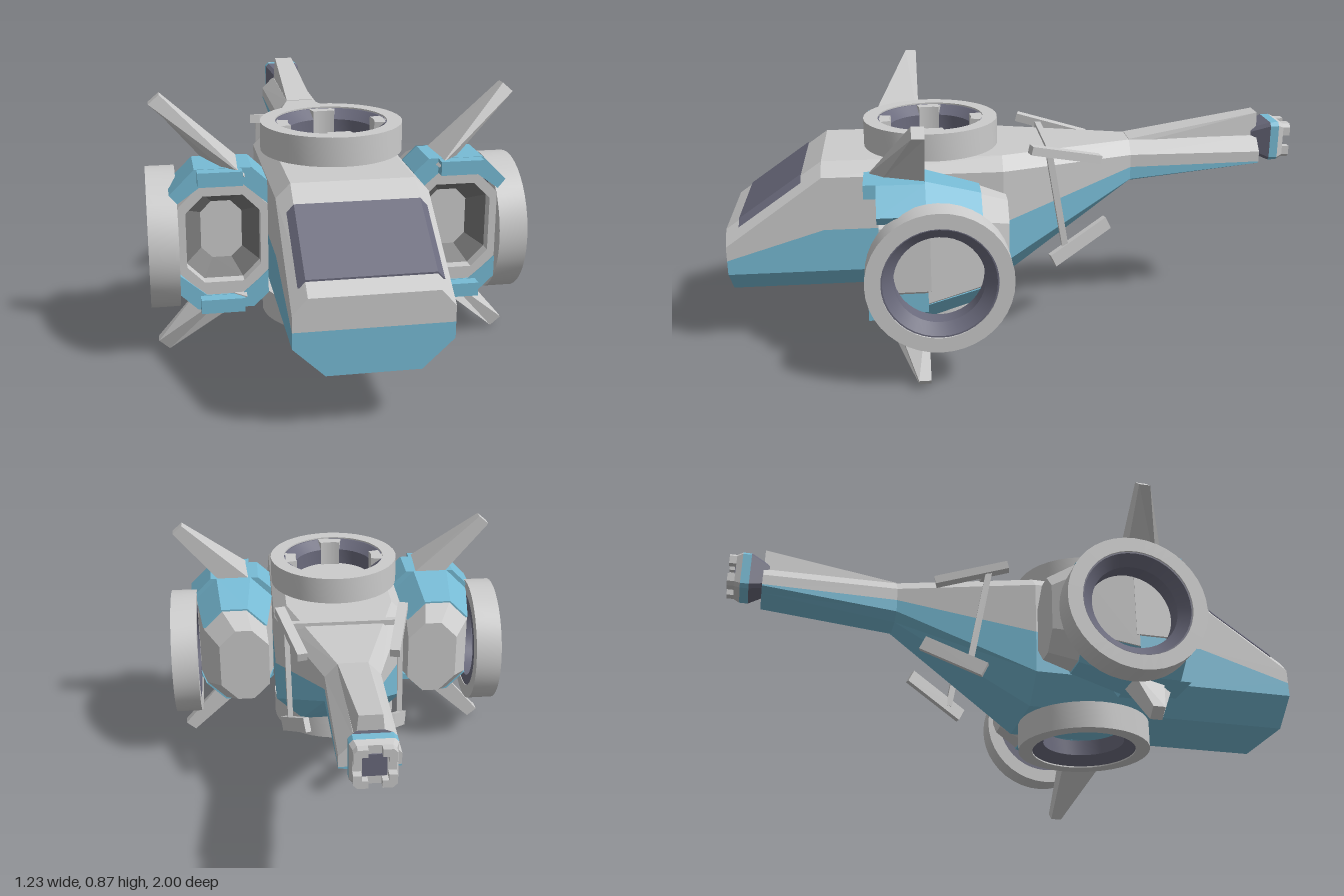
import * as THREE from 'three';
import { toCreasedNormals } from 'three/addons/utils/BufferGeometryUtils.js';

const mat = (color, side = THREE.FrontSide) => new THREE.MeshStandardMaterial({ color, side, flatShading: true });
const GREY = mat(0xcccccc), BLUE = mat(0x77bbd5), DARK = mat(0x6b6b7d);
const INTAKE = mat(0x7a7a7a, THREE.DoubleSide);
const GLASS = mat(0x6b6b7d, THREE.DoubleSide);
const SMOOTH = new THREE.MeshStandardMaterial({ color: 0xcccccc });
const SMOOTH_DARK = new THREE.MeshStandardMaterial({ color: 0x6b6b7d });

function add(parent, name, geometry, material) {
  const mesh = new THREE.Mesh(geometry, material);
  mesh.name = name;
  parent.add(mesh);
  return mesh;
}

// Skin between cross-sections ordered front (+z) to back, turned to face outwards
function loft(rings, caps = true) {
  const n = rings[0].length, pos = [];
  let area = 0;
  const last = rings[rings.length - 1];
  last.forEach((p, i) => { const q = last[(i + 1) % n]; area += p[0] * q[1] - q[0] * p[1]; });
  if (area < 0) rings = rings.map((r) => [...r].reverse());
  const tri = (...pts) => pts.forEach((p) => pos.push(...p));
  for (let k = 0; k < rings.length - 1; k++) {
    for (let i = 0; i < n; i++) {
      const j = (i + 1) % n, a = rings[k], b = rings[k + 1];
      tri(a[i], b[i], b[j]);
      tri(a[i], b[j], a[j]);
    }
  }
  if (caps) {
    const f = rings[0], b = rings[rings.length - 1];
    for (let i = 1; i < n - 1; i++) {
      tri(f[0], f[i], f[i + 1]);
      tri(b[0], b[i + 1], b[i]);
    }
  }
  const g = new THREE.BufferGeometry();
  g.setAttribute('position', new THREE.Float32BufferAttribute(pos, 3));
  g.computeVertexNormals();
  return g;
}

// Octagon with cut corners, centred on (cx, cy)
const oct = (cx, cy, w, h, c, z) => [
  [w, -h + c], [w, h - c], [w - c, h], [c - w, h], [-w, h - c], [-w, c - h], [c - w, -h], [w - c, -h],
].map(([x, y]) => [cx + x, cy + y, z]);

const toShape = (pts) => new THREE.Shape(pts.map(([x, y]) => new THREE.Vector2(x, y)));

function extrude(shape, z0, z1) {
  const g = new THREE.ExtrudeGeometry(shape, { depth: z1 - z0, bevelEnabled: false, curveSegments: 8 });
  return g.translate(0, 0, z0);
}

// Straight bar between two points
function beam(parent, name, a, b, w, h, material = GREY) {
  const p = new THREE.Vector3(...a), q = new THREE.Vector3(...b);
  const m = add(parent, name, new THREE.BoxGeometry(w, h, p.distanceTo(q)), material);
  m.position.copy(p).add(q).multiplyScalar(0.5);
  m.lookAt(q);
}

// Open docking ring standing on its local y = 0
function dockRing(name, teeth) {
  const g = new THREE.Group();
  g.name = name;
  const lathe = (pts) => toCreasedNormals(new THREE.LatheGeometry(pts.map((p) => new THREE.Vector2(...p)), 40), 0.6);
  add(g, 'ringRim', lathe([[0.185, 0], [0.235, 0], [0.235, 0.095], [0.185, 0.095], [0.185, 0]]), SMOOTH);
  add(g, 'ringLining', lathe([[0.145, 0.003], [0.186, 0.003], [0.186, 0.09], [0.18, 0.09], [0.145, 0.06], [0.145, 0.003]]), SMOOTH_DARK);
  for (let i = 0; teeth && i < 4; i++) {
    const mid = i * Math.PI / 2, s = new THREE.Shape();
    s.absarc(0, 0, 0.19, mid - 0.25, mid + 0.25, false);
    s.absarc(0, 0, 0.143, mid + 0.25, mid - 0.25, true);
    add(g, 'ringTooth', extrude(s, 0, 0.09).rotateX(-Math.PI / 2), GREY);
  }
  return g;
}

function sidePod() {
  const g = new THREE.Group(), X = 0.378, Y = 0.425;
  g.name = 'sidePod';
  // Faceted rear shell
  add(g, 'podShell', loft([
    oct(X, Y, 0.142, 0.232, 0.08, 0.33), oct(X, Y, 0.115, 0.18, 0.07, 0.15), oct(X - 0.03, Y, 0.09, 0.14, 0.06, 0.06),
  ]), GREY);
  // Intake frame, funnel and back plate
  const frame = toShape(oct(X, Y, 0.142, 0.19, 0.08, 0));
  frame.holes.push(toShape(oct(X, Y, 0.118, 0.145, 0.055, 0)));
  add(g, 'intakeFrame', extrude(frame, 0.32, 0.48), GREY);
  add(g, 'intakeFunnel', loft([oct(X, Y, 0.118, 0.145, 0.055, 0.44), oct(X, Y, 0.065, 0.095, 0.035, 0.38)], false), INTAKE);
  add(g, 'intakePlate', extrude(toShape(oct(X, Y, 0.07, 0.1, 0.037, 0)), 0.34, 0.382), GREY);

  for (const s of [1, -1]) {
    const flip = ([x, y, z]) => [x, Y + s * (y - Y), z];
    // Coloured panel over the rear shell
    const panel = (w, h, c, z) => [[w, h - c], [w - c, h], [c - w, h], [-w, h - c]].map(([x, y]) => flip([X + x, Y + y, z]));
    add(g, 'podPanel', loft([panel(0.144, 0.236, 0.08, 0.33), panel(0.118, 0.186, 0.07, 0.15)]), BLUE);
    // Visor reaching forward above the intake
    const end = s > 0 ? [[0.545, 0.58], [0.52, 0.55]] : [[0.52, 0.607], [0.52, 0.54]];
    const visor = [[0.237, 0.54], [0.237, 0.615], [0.285, 0.66], [0.465, 0.66], ...end, [0.435, 0.612], [0.32, 0.612]];
    add(g, 'podVisor', extrude(toShape(visor.map(flip)), 0.33, 0.485), BLUE);
    const lip = add(g, 'visorLip', new THREE.BoxGeometry(0.14, 0.046, 0.06), BLUE);
    lip.position.set(...flip([0.387, 0.636, 0.495]));
    // Swept fin
    const finY = (y) => (s > 0 ? y : 0.88 - y);
    const fin = [
      [[0.31, 0.64, 0.52], [0.36, 0.64, 0.47], [0.595, 0.845, 0.37], [0.56, 0.875, 0.37]],
      [[0.3, 0.64, 0.33], [0.42, 0.64, 0.33], [0.595, 0.845, 0.33], [0.56, 0.875, 0.33]],
    ].map((r) => r.map(([x, y, z]) => [x, finY(y), z]));
    add(g, 'fin', loft(fin), GREY);
  }

  const ring = dockRing('sideRing', false);
  ring.rotation.z = -Math.PI / 2;
  ring.position.set(0.52, 0.38, 0.295);
  g.add(ring);

  // Rear braces beside the hull
  beam(g, 'upperVane', [0.218, 0.685, -0.035], [0.155, 0.625, -0.285], 0.035, 0.03);
  beam(g, 'lowerVane', [0.215, 0.275, -0.115], [0.145, 0.385, -0.32], 0.02, 0.05);
  beam(g, 'braceStrut', [0.2, 0.67, -0.1], [0.195, 0.3, -0.165], 0.018, 0.022);
  return g;
}

export function createModel() {
  const model = new THREE.Group();
  model.name = 'spacecraft';

  // Hull stations: z, bottom half-width, bottom y, half-width, lower corner y, colour line y, upper corner y, top half-width, top y
  const stations = [
    [1, 0.14, 0.19, 0.235, 0.28, 0.33, 0.38, 0.19, 0.43],
    [0.67, 0.14, 0.19, 0.235, 0.28, 0.43, 0.615, 0.19, 0.66],
    [0.06, 0.14, 0.19, 0.235, 0.28, 0.43, 0.615, 0.19, 0.66],
    [-0.41, 0.045, 0.505, 0.092, 0.525, 0.57, 0.615, 0.05, 0.66],
    [-0.88, 0.045, 0.565, 0.092, 0.57, 0.575, 0.612, 0.045, 0.66],
  ];
  add(model, 'lowerHull', loft(stations.map(([z, wb, yb, w, yl, ym]) =>
    [[-wb, yb, z], [wb, yb, z], [w, yl, z], [w, ym, z], [-w, ym, z], [-w, yl, z]])), BLUE);
  add(model, 'upperHull', loft(stations.map(([z, , , w, , ym, yu, wt, yt]) =>
    [[-w, ym, z], [w, ym, z], [w, yu, z], [wt, yt, z], [-wt, yt, z], [-w, yu, z]])), GREY);

  // Windscreen wrapped over the sloping nose
  const glassRow = (y, z) => [[-0.212, y - 0.018, z], [0.212, y - 0.018, z], [0.19, y + 0.006, z], [-0.19, y + 0.006, z]];
  add(model, 'windscreen', loft([glassRow(0.461, 0.955), glassRow(0.611, 0.74)]), GLASS);

  // Tail ridge rising to the rear
  const ridge = (w, t, y, z) => [[-w, 0.64, z], [w, 0.64, z], [t, y, z], [-t, y, z]];
  add(model, 'tailRidge', loft([ridge(0.055, 0.05, 0.662, -0.41), ridge(0.045, 0.035, 0.742, -0.88)]), GREY);

  // Tail coupling
  const sq = (w, z) => oct(0, 0.64, w, w, 0.012, z);
  add(model, 'couplingNeck', loft([sq(0.045, -0.86), sq(0.07, -0.925)]), DARK);
  add(model, 'couplingBand', loft([sq(0.07, -0.925), sq(0.07, -0.955)]), BLUE);
  add(model, 'couplingEnd', loft([sq(0.07, -0.955), sq(0.062, -0.975)]), GREY);
  add(model, 'couplingRecess', new THREE.BoxGeometry(0.07, 0.07, 0.01), DARK).position.set(0, 0.64, -0.974);
  const corner = toShape([[0.02, 0.038], [0.038, 0.038], [0.038, 0.02], [0.062, 0.02], [0.062, 0.05], [0.05, 0.062], [0.02, 0.062]]);
  for (let i = 0; i < 4; i++) {
    const c = add(model, 'couplingCorner', extrude(corner, -1, -0.97), GREY);
    c.rotation.z = i * Math.PI / 2;
    c.position.y = 0.64;
  }

  // Docking rings above and below
  const top = dockRing('topRing', true);
  top.position.set(0, 0.66, 0.295);
  const bottom = dockRing('bottomRing', false);
  bottom.rotation.x = Math.PI;
  bottom.position.set(0, 0.19, 0.295);
  model.add(top, bottom);

  // Bar joining the braces across the hull
  beam(model, 'crossBar', [-0.205, 0.662, -0.11], [0.205, 0.662, -0.11], 0.022, 0.02);

  // Pods, fins and braces, mirrored left and right
  for (const s of [1, -1]) {
    const pod = sidePod();
    pod.name = s > 0 ? 'leftPod' : 'rightPod';
    pod.scale.x = s;
    model.add(pod);
  }
  return model;
}
